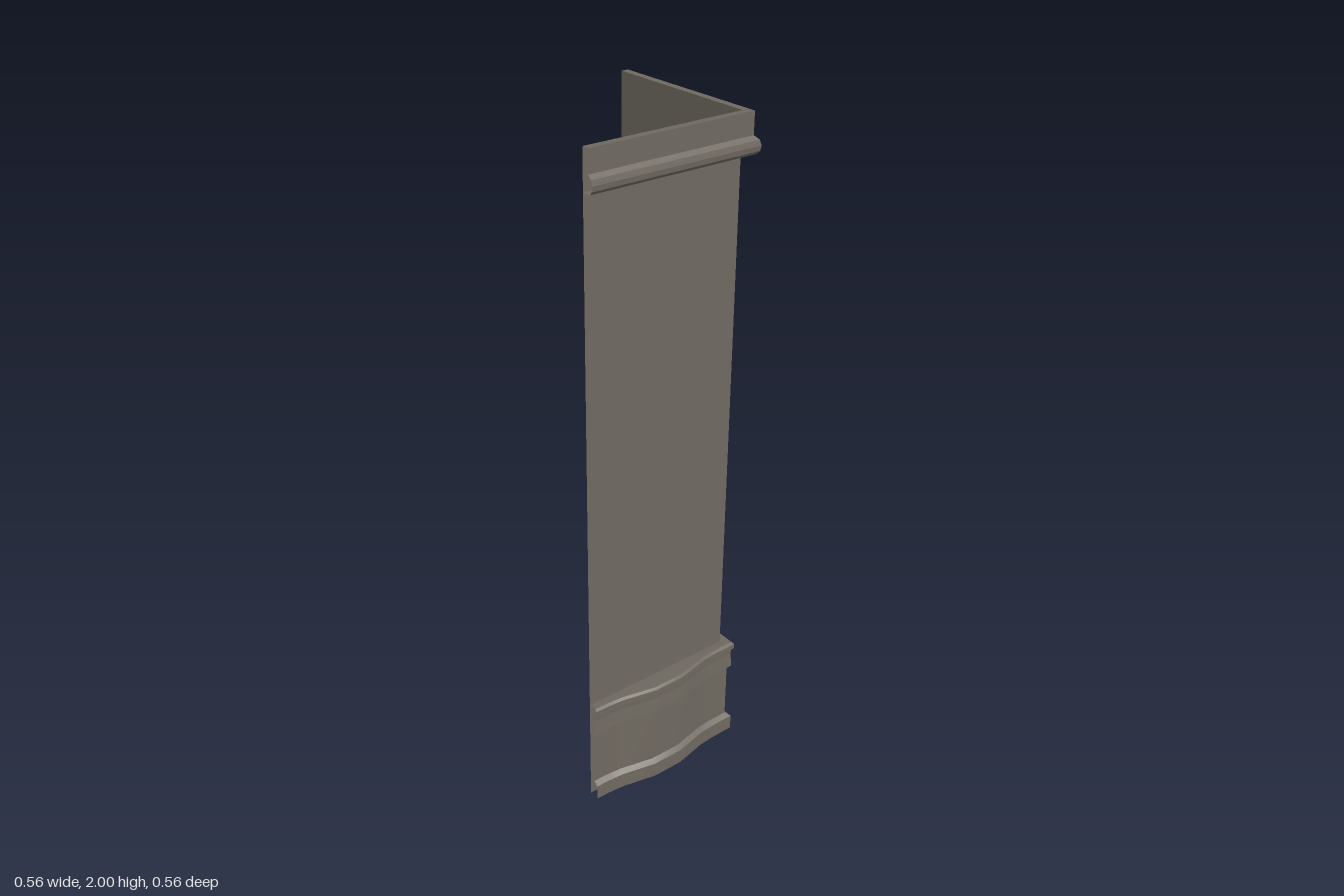
import * as THREE from 'three';

const WALL = 0.22;   // outward position of both wall faces
const END = -0.28;   // free end of each arm

// Sweep a profile of [offset, height, bow factor] along one arm, mitred at the corner.
// path: [position along the arm, bow]. Strips are smooth along the arm and creased between.
function sweepArm(profile, path, swapped) {
  const pos = [], idx = [];
  const n = path.length;
  for (let j = 0; j < profile.length - 1; j++) {
    const base = pos.length / 3;
    for (const [d, y, k] of [profile[j], profile[j + 1]]) {
      path.forEach(([s, bow], i) => {
        const along = i === n - 1 ? s + d : s;
        const out = WALL + d + bow * k;
        pos.push(swapped ? out : along, y, swapped ? along : out);
      });
    }
    for (let i = 0; i < n - 1; i++) {
      const a = base + i, b = a + 1, c = b + n, e = a + n;
      if (swapped) idx.push(a, c, b, a, e, c);
      else idx.push(a, b, c, a, c, e);
    }
  }
  const g = new THREE.BufferGeometry();
  g.setAttribute('position', new THREE.Float32BufferAttribute(pos, 3));
  g.setIndex(idx);
  g.computeVertexNormals();
  return g;
}

export function createModel() {
  const model = new THREE.Group();
  const stone = new THREE.MeshStandardMaterial({ color: 0x6f6960, side: THREE.DoubleSide });
  stone.name = 'greyBrownStone';

  const straight = [[END, 0], [WALL, 0]];
  // Shallow bow in the middle of each arm
  const bowed = [[END, 0], [-0.235, 0.001], [-0.185, 0.005], [-0.08, 0.028],
    [0.02, 0.028], [0.125, 0.005], [0.175, 0.001], [WALL, 0]];

  const wall = [[0, 0, 0], [0, 2, 0]];

  // Rounded bead below a flat band
  const cornice = [[0, 1.888, 0], [0.028, 1.888, 0], [0.035, 1.897, 0], [0.037, 1.911, 0],
    [0.033, 1.926, 0], [0.022, 1.937, 0], [0.022, 2, 0], [0, 2, 0]];

  // Plinth, recessed panel, band and rim with a ledge back to the wall
  const plinth = [[0.032, 0, 1], [0.032, 0.048, 1], [0.018, 0.06, 1]];
  const panel = [[0.018, 0.06, 1], [0.018, 0.247, 1]];
  const rim = [[0.018, 0.247, 1], [0.028, 0.249, 1], [0.025, 0.295, 1], [0.026, 0.312, 1],
    [0.032, 0.317, 1], [0.032, 0.333, 1], [0.026, 0.34, 1], [0.018, 0.34, 1], [0, 0.338, 0]];

  const parts = [
    ['wall', wall, straight],
    ['cornice', cornice, straight],
    ['basePlinth', plinth, bowed],
    ['basePanel', panel, bowed],
    ['baseRim', rim, bowed],
  ];
  for (const [name, profile, path] of parts) {
    const group = new THREE.Group();
    group.name = name;
    for (const swapped of [false, true]) {
      const mesh = new THREE.Mesh(sweepArm(profile, path, swapped), stone);
      mesh.name = name + (swapped ? 'Side' : 'Front');
      group.add(mesh);
    }
    model.add(group);
  }
  return model;
}
